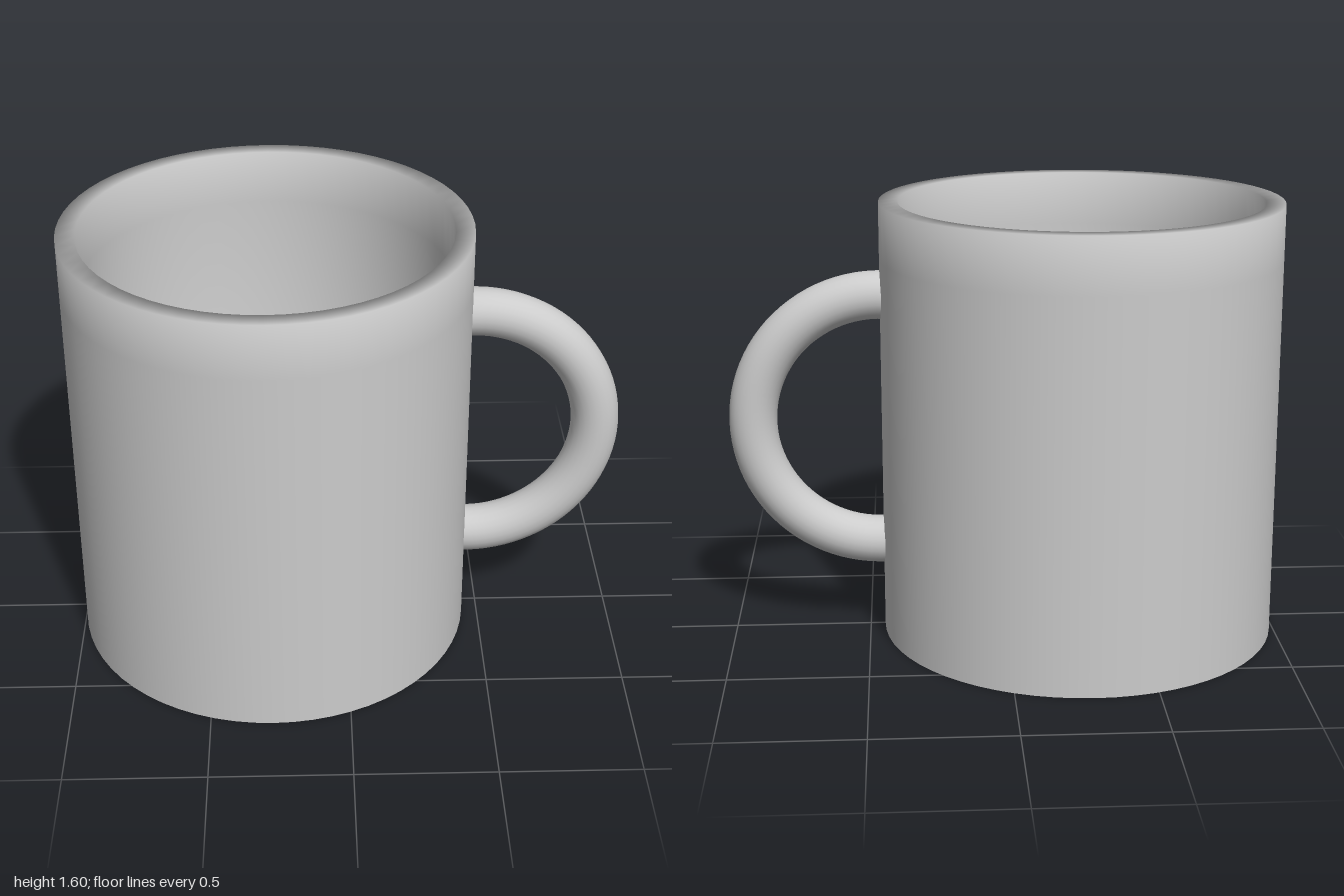
import * as THREE from 'three';

const HEIGHT = 1.6;
const OUTER = 0.723;
const INNER = 0.655;
const CENTRE_X = -0.277;

export function createModel() {
  const group = new THREE.Group();
  group.name = 'mug';
  const material = new THREE.MeshStandardMaterial({ color: 0xcccccc });

  const add = (name, geometry, x, y) => {
    const mesh = new THREE.Mesh(geometry, material);
    mesh.name = name;
    mesh.position.set(x, y, 0);
    group.add(mesh);
    return mesh;
  };

  // Body: outer wall, flat rim with softened shading, inner wall and sloped floor edge
  const profile = [
    [OUTER, 0], [OUTER, 0.2], [OUTER, HEIGHT - 0.2], [OUTER, HEIGHT],
    [INNER, HEIGHT], [INNER, HEIGHT - 0.2], [INNER, 0.2],
    [0.385, 0.07], [0, 0.07],
  ].map(([r, y]) => new THREE.Vector2(r, y));
  add('body', new THREE.LatheGeometry(profile, 64), CENTRE_X, 0);

  // Underside
  const base = add('base', new THREE.CircleGeometry(OUTER, 64), CENTRE_X, 0);
  base.rotation.x = Math.PI / 2;

  // Handle: half ring whose ends sink slightly into the wall
  const sink = 0.05;
  const handle = add('handle',
    new THREE.TorusGeometry(0.463, 0.087, 24, 48, Math.PI + 2 * sink), 0.45, 0.8);
  handle.rotation.z = -Math.PI / 2 - sink;

  return group;
}
